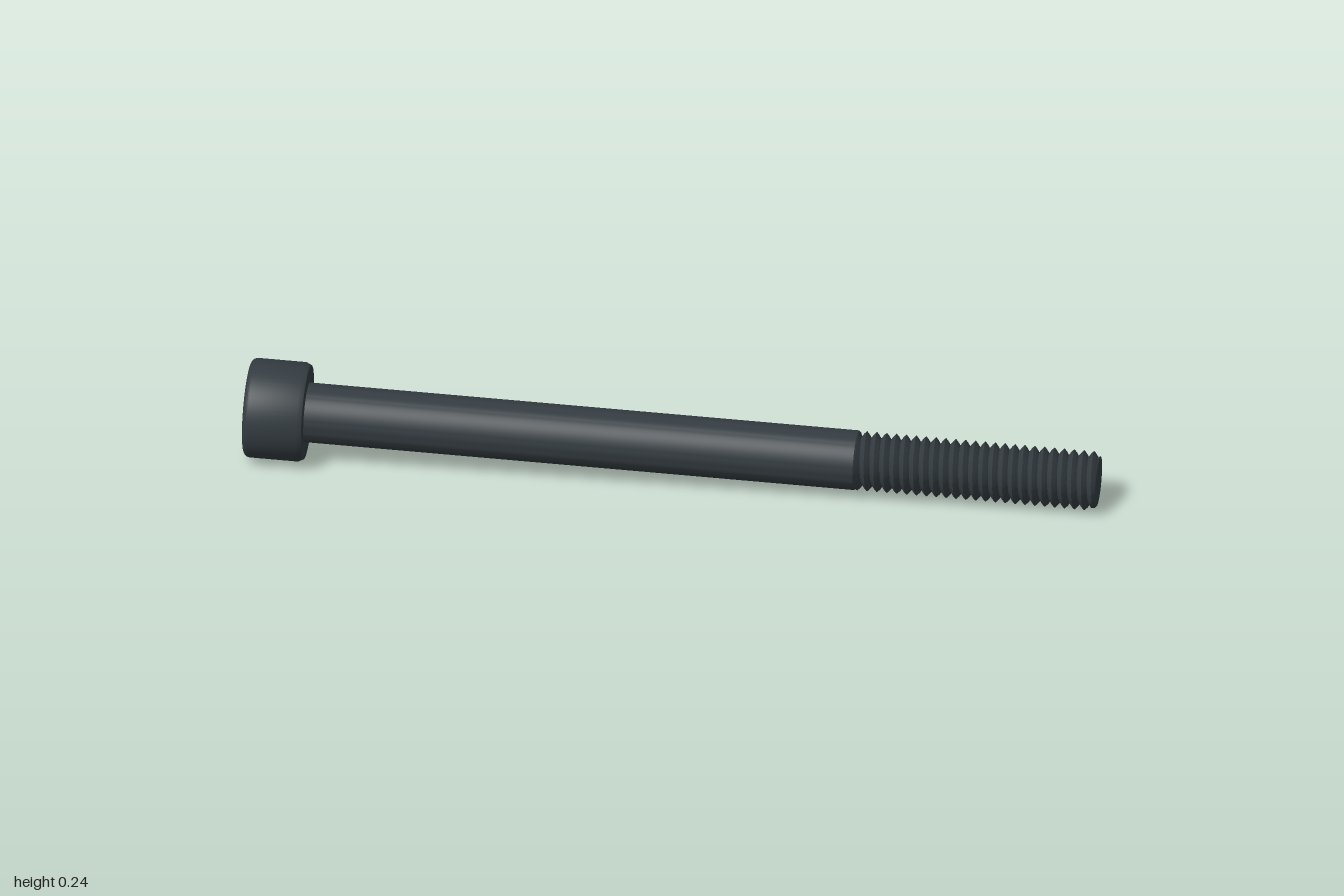
import * as THREE from 'three';
import { toCreasedNormals } from 'three/addons/utils/BufferGeometryUtils.js';

const LENGTH = 2.007, HEAD_R = 0.1167, HEAD_H = 0.14, SHAFT_R = 0.07;
const THREAD_START = 1.44, PITCH = 0.0233, THREAD_DEPTH = 0.0143;
const SOCKET_R = 0.0674, SOCKET_DEPTH = 0.07, EDGE = 0.014;

// Helical V thread around y, with a chamfered, closed tip
function threadGeometry() {
  const segments = 64, perTurn = 4;
  const rows = (Math.ceil((LENGTH - THREAD_START) / PITCH) + 1) * perTurn;
  const point = (i, j) => {
    const turn = i / segments;
    const y = THREE.MathUtils.clamp(THREAD_START + (j / perTurn + turn - 1) * PITCH, THREAD_START, LENGTH);
    const phase = THREE.MathUtils.euclideanModulo((y - THREAD_START) / PITCH - turn, 1);
    const crest = Math.min(1, 1.15 * Math.abs(2 * phase - 1));
    const r = Math.min(SHAFT_R - THREAD_DEPTH * (1 - crest), 0.059 + (LENGTH - y));
    const a = turn * Math.PI * 2;
    return new THREE.Vector3(r * Math.sin(a), y, r * Math.cos(a));
  };
  const positions = [];
  const triangle = (a, b, c) => {
    const area = b.clone().sub(a).cross(c.clone().sub(a)).length();
    if (area > 1e-9) for (const p of [a, b, c]) positions.push(p.x, p.y, p.z);
  };
  const centre = new THREE.Vector3(0, LENGTH, 0);
  for (let i = 0; i < segments; i++) {
    for (let j = 0; j < rows; j++) {
      const a = point(i, j), b = point(i + 1, j), c = point(i + 1, j + 1), d = point(i, j + 1);
      triangle(a, b, d);
      triangle(c, d, b);
    }
    triangle(point(i, rows + perTurn), point(i + 1, rows + perTurn), centre);
  }
  const geometry = new THREE.BufferGeometry();
  geometry.setAttribute('position', new THREE.Float32BufferAttribute(positions, 3));
  return toCreasedNormals(geometry, 0.5);
}

// Turned part from [radius, height] pairs
function turned(profile) {
  const points = profile.map(([r, y]) => new THREE.Vector2(r, y));
  return toCreasedNormals(new THREE.LatheGeometry(points, 64), 0.5);
}

export function createModel() {
  const steel = new THREE.MeshStandardMaterial({ color: 0x343c41 });
  steel.name = 'blackened steel';
  const model = new THREE.Group();
  model.name = 'socketHeadBolt';
  const add = (name, geometry) => {
    const mesh = new THREE.Mesh(geometry, steel);
    mesh.name = name;
    model.add(mesh);
    return mesh;
  };

  // Head: rounded outer rim, straight side, chamfered bearing face
  const profile = [];
  for (let k = 0; k <= 5; k++) {
    const a = (k / 5) * Math.PI / 2;
    profile.push([HEAD_R - EDGE + EDGE * Math.sin(a), EDGE - EDGE * Math.cos(a)]);
  }
  profile.push([HEAD_R, HEAD_H - 0.012], [HEAD_R - 0.006, HEAD_H], [SHAFT_R, HEAD_H]);
  add('head', turned(profile));

  // Head end face with a hexagonal opening
  const face = new THREE.Shape().absarc(0, 0, HEAD_R - EDGE, 0, Math.PI * 2);
  const hexagon = [];
  for (let k = 0; k < 6; k++) {
    const a = k * Math.PI / 3;
    hexagon.push(new THREE.Vector2(SOCKET_R * Math.cos(a), SOCKET_R * Math.sin(a)));
  }
  face.holes.push(new THREE.Path(hexagon));
  add('headFace', new THREE.ShapeGeometry(face, 64).rotateX(Math.PI / 2));

  // Hexagonal socket, walls facing inward
  const walls = new THREE.CylinderGeometry(SOCKET_R, SOCKET_R, SOCKET_DEPTH, 6, 1, true)
    .rotateY(Math.PI / 6).scale(-1, 1, 1).toNonIndexed();
  // Reverse the corner order after mirroring only if the walls face outward
  walls.computeVertexNormals();
  const p = walls.attributes.position, n = walls.attributes.normal;
  if (p.getX(0) * n.getX(0) + p.getZ(0) * n.getZ(0) > 0) {
    walls.setIndex([...Array(p.count).keys()].reverse());
    n.array.forEach((v, i) => { n.array[i] = -v; });
  }
  add('socketWalls', walls).position.y = SOCKET_DEPTH / 2;
  add('socketFloor', new THREE.CircleGeometry(SOCKET_R, 6).rotateX(Math.PI / 2)).position.y = SOCKET_DEPTH;

  // Plain shank, ending in a small step down to the thread root
  add('shank', turned([
    [SHAFT_R, HEAD_H], [SHAFT_R, THREAD_START - 0.004],
    [SHAFT_R - 0.004, THREAD_START], [SHAFT_R - THREAD_DEPTH - 0.002, THREAD_START],
  ]));
  add('thread', threadGeometry());

  // Lay the bolt down, resting on its head rim and tip
  const direction = new THREE.Vector3(1, -0.0258, 0.2115).normalize();
  model.quaternion.setFromUnitVectors(new THREE.Vector3(0, 1, 0), direction);
  model.position.set(-0.976, 0.12, -0.184);
  const root = new THREE.Group();
  root.name = 'bolt';
  root.add(model);
  return root;
}
